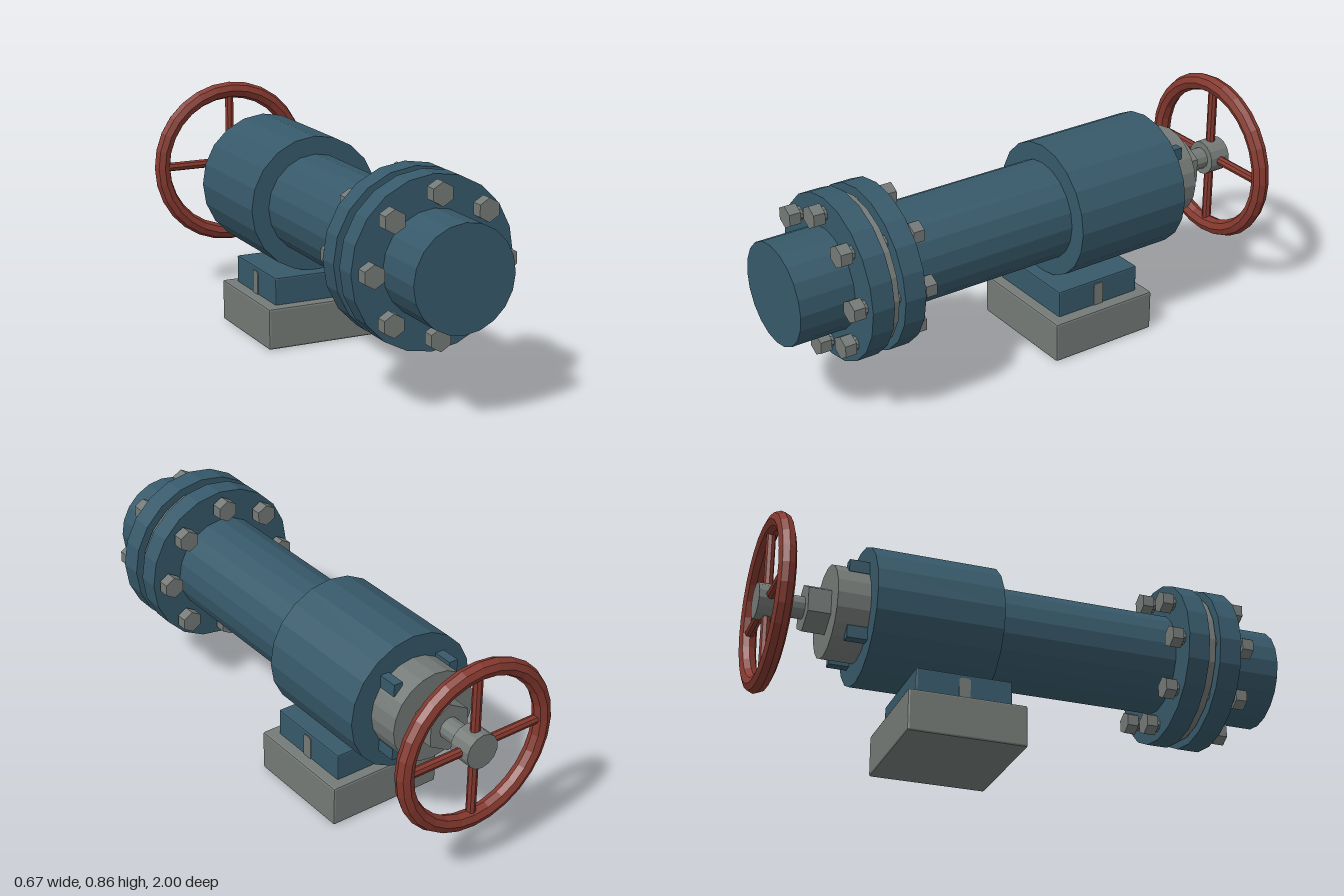
import * as THREE from 'three';
import { RoundedBoxGeometry } from 'three/addons/geometries/RoundedBoxGeometry.js';

const AXIS_Y = 0.523;

export function createModel() {
  const root = new THREE.Group();
  root.name = 'gateValve';

  const material = (name, color) => {
    const m = new THREE.MeshStandardMaterial({ color });
    m.name = name;
    return m;
  };
  const blue = material('bluePaint', 0x37596a);
  const grey = material('greySteel', 0x747a77);
  const red = material('redPaint', 0x85392f);

  // Adds a mesh with faceted normals
  const add = (name, geometry, mat, x = 0, y = 0, z = 0, parent = root) => {
    const flat = geometry.index ? geometry.toNonIndexed() : geometry;
    flat.computeVertexNormals();
    const mesh = new THREE.Mesh(flat, mat);
    mesh.name = name;
    mesh.position.set(x, y, z);
    parent.add(mesh);
    return mesh;
  };
  // Cylinder lying along z, between two z positions
  const rod = (name, r, z0, z1, sides, mat, x = 0, y = AXIS_Y, parent = root) =>
    add(name, new THREE.CylinderGeometry(r, r, z1 - z0, sides).rotateX(Math.PI / 2),
      mat, x, y, (z0 + z1) / 2, parent);

  // Pipe and valve body
  rod('pipe', 0.192, -0.2, 1, 20, blue);
  rod('valveBody', 0.261, -0.617, -0.137, 20, blue);

  // Flanged joint
  rod('frontFlange', 0.311, 0.7, 0.786, 20, blue);
  rod('rearFlange', 0.311, 0.573, 0.656, 20, blue);
  rod('gasket', 0.286, 0.666, 0.692, 20, grey);
  for (let i = 0; i < 8; i++) {
    const a = i * Math.PI / 4;
    const x = 0.253 * Math.cos(a), y = AXIS_Y + 0.253 * Math.sin(a);
    const bolt = new THREE.Group();
    bolt.name = 'flangeBolt';
    root.add(bolt);
    rod('boltShank', 0.026, 0.53, 0.83, 10, grey, x, y, bolt);
    rod('boltHead', 0.043, 0.802, 0.847, 6, grey, x, y, bolt);
    rod('boltNut', 0.043, 0.515, 0.559, 6, grey, x, y, bolt);
  }

  // Bonnet, gland nut and stem
  rod('bonnet', 0.175, -0.74, -0.6, 20, grey);
  rod('glandNut', 0.094, -0.825, -0.73, 6, grey);
  rod('stem', 0.042, -0.95, -0.8, 12, grey);
  for (const sx of [-1, 1]) for (const sy of [-1, 1]) {
    add('bonnetLug', new THREE.BoxGeometry(0.036, 0.048, 0.09), blue,
      sx * 0.121, AXIS_Y + sy * 0.132, -0.648);
  }

  // Handwheel
  const wheel = new THREE.Group();
  wheel.name = 'handwheel';
  wheel.position.set(0, AXIS_Y, -0.957);
  root.add(wheel);
  add('wheelRim', new THREE.TorusGeometry(0.301, 0.033, 8, 28), red, 0, 0, 0, wheel);
  rod('wheelHub', 0.067, -0.043, 0.045, 14, grey, 0, 0, wheel);
  for (let i = 0; i < 4; i++) {
    const spoke = new THREE.CylinderGeometry(0.018, 0.018, 0.25, 8)
      .translate(0, 0.17, 0).rotateZ(i * Math.PI / 2);
    add('wheelSpoke', spoke, red, 0, 0, 0, wheel);
  }

  // Foot: base block, saddle and side keys
  add('baseBlock', new RoundedBoxGeometry(0.472, 0.16, 0.448, 1, 0.008), grey, 0, 0.08, -0.266);
  add('saddle', new RoundedBoxGeometry(0.38, 0.11, 0.364, 1, 0.006), blue, 0, 0.21, -0.267);
  for (const s of [-1, 1]) {
    const key = new THREE.Shape([
      [-0.021, 0], [0.021, 0], [0.021, 0.085], [0.014, 0.092], [-0.014, 0.092], [-0.021, 0.085],
    ].map(([x, y]) => new THREE.Vector2(x, y)));
    const geometry = new THREE.ExtrudeGeometry(key, { depth: 0.02, bevelEnabled: false })
      .translate(0, 0, -0.01).rotateY(Math.PI / 2);
    add('sideKey', geometry, grey, s * 0.184, 0.158, -0.266);
  }

  return root;
}
